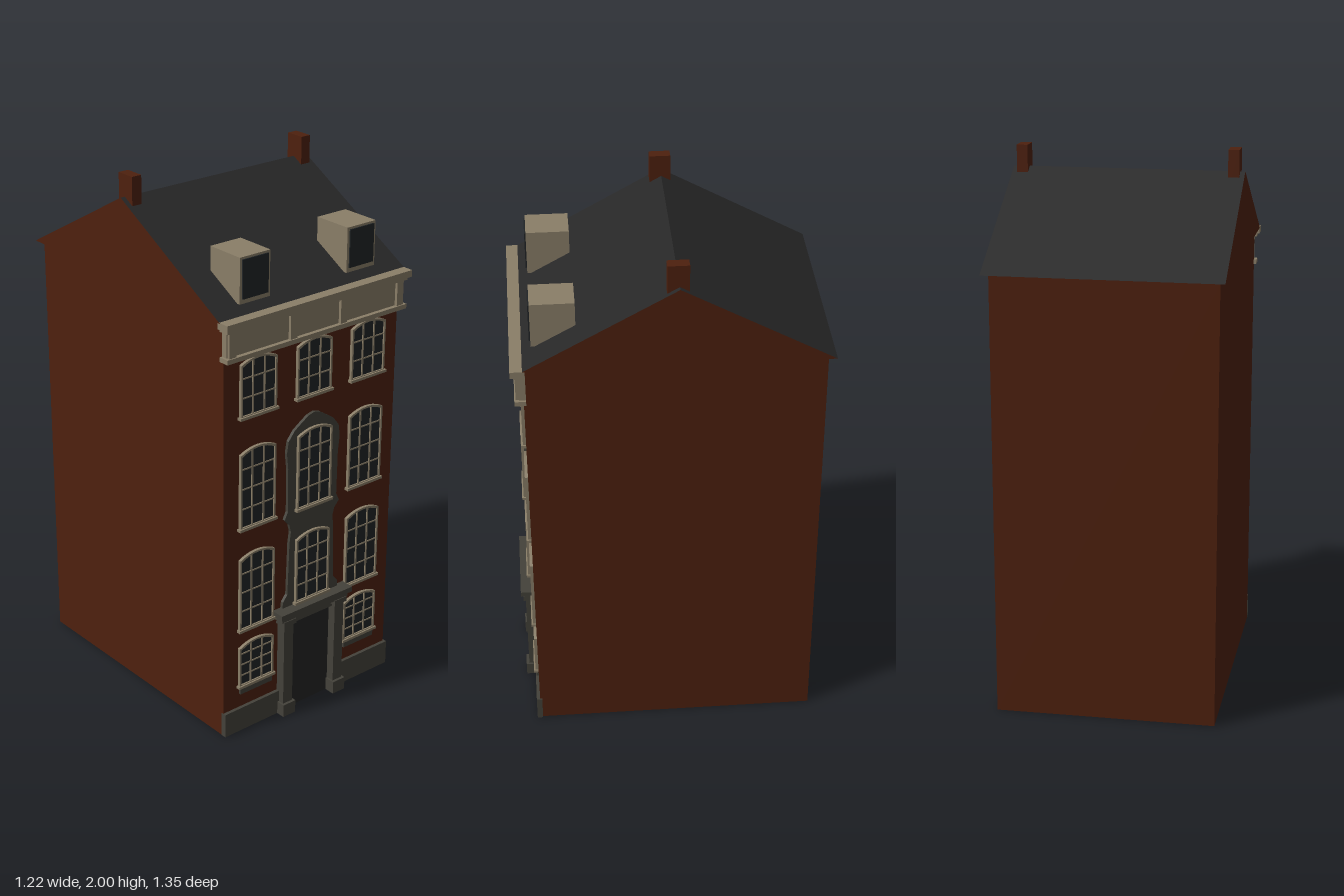
import * as THREE from 'three';

const mat = (name, color) => {
  const m = new THREE.MeshStandardMaterial({ color });
  m.name = name;
  return m;
};

export function createModel() {
  const brick = mat('red brick', 0x4e200e);
  const slate = mat('roof slate', 0x272727);
  const cream = mat('cream paint', 0x8a7e68);
  const stone = mat('grey stone', 0x44423a);
  const glass = mat('dark glass', 0x202426);
  const doorPaint = mat('door paint', 0x242525);

  const house = new THREE.Group();
  house.name = 'townHouse';
  const FRONT = 0.508; // plane of the front wall

  const add = (name, geo, material, parent = house) => {
    const m = new THREE.Mesh(geo, material);
    m.name = name;
    parent.add(m);
    return m;
  };
  // box given by its extents
  const box = (name, x0, x1, y0, y1, z0, z1, material, parent) => {
    const m = add(name, new THREE.BoxGeometry(x1 - x0, y1 - y0, z1 - z0), material, parent);
    m.position.set((x0 + x1) / 2, (y0 + y1) / 2, (z0 + z1) / 2);
    return m;
  };
  // outline extruded forwards from z0
  const slab = (name, shape, z0, depth, material, parent) => {
    const geo = new THREE.ExtrudeGeometry(shape, { depth, bevelEnabled: false, curveSegments: 8 });
    const m = add(name, geo, material, parent);
    m.position.z = z0;
    return m;
  };

  // walls
  box('walls', -0.402, 0.397, 0, 1.62, -0.532, FRONT, brick);

  // roof prism: brick gables, slate slopes
  const gable = new THREE.Shape([
    new THREE.Vector2(-0.514, 1.622), new THREE.Vector2(0.558, 1.622), new THREE.Vector2(0.022, 1.92),
  ]);
  const roofGeo = new THREE.ExtrudeGeometry(gable, { depth: 0.844, bevelEnabled: false });
  roofGeo.rotateY(Math.PI / 2);
  roofGeo.translate(-0.422, 0, 0);
  add('roof', roofGeo, [brick, slate]);

  // chimneys and dormers
  for (const s of [-1, 1]) {
    const c = s * 0.384;
    box('chimney', c - 0.02, c + 0.02, 1.85, 2, -0.055, 0.02, brick);
    const d = s * 0.241;
    const dormer = new THREE.Group();
    dormer.name = 'dormer';
    house.add(dormer);
    box('dormerBox', d - 0.066, d + 0.066, 1.65, 1.815, 0.322, 0.476, cream, dormer);
    box('dormerWindow', d - 0.056, d + 0.056, 1.667, 1.807, 0.474, 0.481, glass, dormer);
  }

  // cornice: top ledge, frieze with raised blocks, lower moulding
  box('corniceLedge', -0.422, 0.422, 1.6, 1.625, 0.5, 0.551, cream);
  box('corniceStep', -0.412, 0.412, 1.588, 1.6, 0.5, 0.54, cream);
  box('frieze', -0.402, 0.402, 1.495, 1.588, 0.5, 0.524, cream);
  box('corniceMoulding', -0.412, 0.412, 1.48, 1.497, 0.5, 0.54, cream);
  for (const x of [-0.384, -0.115, 0.115, 0.384]) {
    box('friezeBlock', x - 0.015, x + 0.015, 1.497, 1.588, 0.52, 0.535, cream);
  }

  // arched outline used for panes and frames
  const arched = (PathType, h, y0, y1) => {
    const p = new PathType();
    p.moveTo(-h, y0);
    p.lineTo(h, y0);
    p.lineTo(h, y1 - 0.02);
    p.quadraticCurveTo(0, y1 + 0.02, -h, y1 - 0.02);
    p.closePath();
    return p;
  };
  const addWindow = (x, y0, y1, rows, z) => {
    const g = new THREE.Group();
    g.name = 'window';
    g.position.set(x, 0, z);
    house.add(g);
    slab('pane', arched(THREE.Shape, 0.077, y0, y1 - 0.002), -0.004, 0.008, glass, g);
    const frame = arched(THREE.Shape, 0.08, y0, y1);
    frame.holes.push(arched(THREE.Path, 0.073, y0 + 0.007, y1 - 0.007));
    slab('frame', frame, -0.004, 0.014, cream, g);
    for (const u of [-0.026, 0.026]) {
      box('verticalBar', u - 0.003, u + 0.003, y0, y1 - 0.006, 0, 0.008, cream, g);
    }
    for (let i = 1; i < rows; i++) {
      const y = y0 + ((y1 - y0) * i) / rows;
      box('crossBar', -0.077, 0.077, y - 0.0025, y + 0.0025, 0, 0.007, cream, g);
    }
    box('sill', -0.086, 0.086, y0 - 0.006, y0 + 0.004, -0.004, 0.016, cream, g);
  };

  // windows by storey
  const storeys = [[0.185, 0.365, 4], [0.42, 0.725, 4], [0.828, 1.135, 4], [1.255, 1.47, 3]];
  storeys.forEach(([y0, y1, rows], i) => {
    for (const x of [-0.254, 0, 0.254]) {
      if (x === 0 && i === 0) continue; // door
      const onStone = x === 0 && i < 3;
      const bottom = onStone && i === 1 ? 0.447 : y0;
      addWindow(x, bottom, y1, rows, onStone ? FRONT + 0.013 : FRONT + 0.002);
      if (i === 0) box('sillStone', x - 0.075, x + 0.075, 0.152, 0.18, 0.5, FRONT + 0.01, stone);
    }
  });

  // carved stone surround above the door, mirrored from its right half
  const half = [
    [0.135, 0.44], [0.132, 0.465], [0.112, 0.49], [0.106, 0.7], [0.1, 0.745], [0.108, 0.775],
    [0.13, 0.8], [0.116, 0.83], [0.118, 1.0], [0.125, 1.06], [0.118, 1.105], [0.09, 1.14],
    [0.055, 1.163], [0.028, 1.18],
  ];
  const outline = [...half, [0, 1.187], ...half.slice().reverse().map(([x, y]) => [-x, y])];
  slab('stoneSurround', new THREE.Shape(outline.map(([x, y]) => new THREE.Vector2(x, y))),
    0.5, 0.02, stone);

  // doorway
  box('door', -0.1, 0.1, 0, 0.372, 0.5, FRONT + 0.006, doorPaint);
  box('doorHead', -0.14, 0.14, 0.37, 0.402, 0.5, 0.53, stone);
  box('doorEntablature', -0.16, 0.16, 0.4, 0.42, 0.5, 0.55, stone);
  box('doorLintel', -0.172, 0.172, 0.42, 0.44, 0.5, 0.562, stone);
  for (const s of [-1, 1]) {
    const c = s * 0.124;
    box('pilaster', c - 0.022, c + 0.022, 0.05, 0.385, 0.5, 0.545, stone);
    box('pilasterBase', c - 0.029, c + 0.029, 0, 0.05, 0.5, 0.556, stone);
    box('pilasterCapital', c - 0.029, c + 0.029, 0.382, 0.402, 0.5, 0.553, stone);
    box('plinth', Math.min(s * 0.12, s * 0.403), Math.max(s * 0.12, s * 0.403), 0, 0.095, 0.5, 0.521, stone);
  }

  // the house stands turned on its spot
  house.rotation.y = 0.4136;
  const model = new THREE.Group();
  model.name = 'model';
  model.add(house);
  return model;
}
